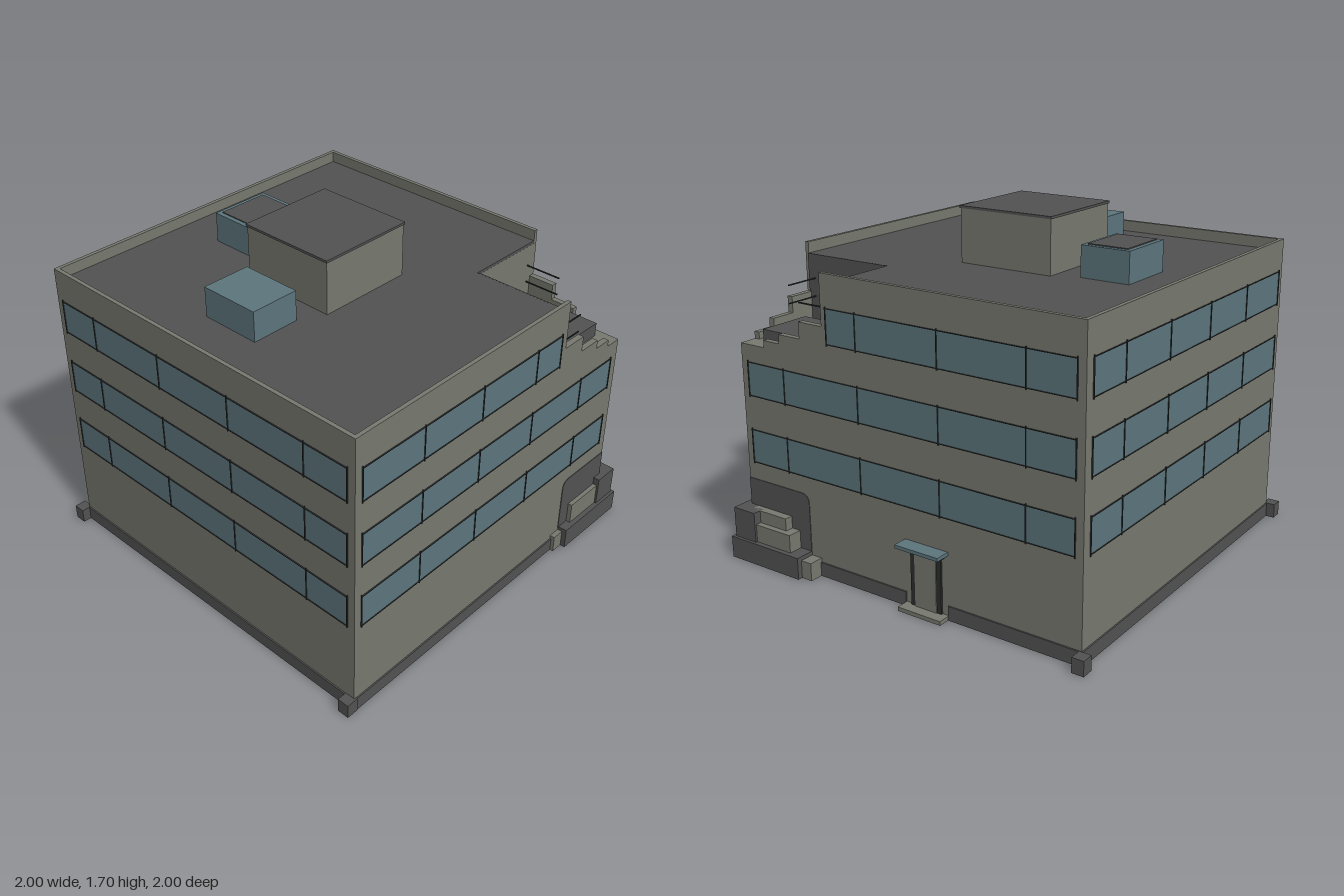
import * as THREE from 'three';

const mat = (name, color, side = THREE.FrontSide) => {
  const m = new THREE.MeshStandardMaterial({ color, side });
  m.name = name;
  return m;
};

export function createModel() {
  const wall = mat('concrete', 0x77786f);
  const dark = mat('darkGrey', 0x525252);
  const glass = mat('glass', 0x5c757d);
  const trim = mat('blackTrim', 0x2c2e2e);
  const model = new THREE.Group();
  model.name = 'damagedOfficeBlock';

  // Box given by its minimum and maximum corners
  const box = (name, m, x0, x1, y0, y1, z0, z1, parent = model) => {
    const mesh = new THREE.Mesh(new THREE.BoxGeometry(x1 - x0, y1 - y0, z1 - z0), m);
    mesh.position.set((x0 + x1) / 2, (y0 + y1) / 2, (z0 + z1) / 2);
    mesh.name = name;
    parent.add(mesh);
    return mesh;
  };
  // Plan outline (x, z) raised from y0 to y1
  const slab = (name, m, pts, y0, y1) => {
    const shape = new THREE.Shape(pts.map(([x, z]) => new THREE.Vector2(x, -z)));
    const geo = new THREE.ExtrudeGeometry(shape, { depth: y1 - y0, bevelEnabled: false });
    geo.rotateX(-Math.PI / 2).translate(0, y0, 0);
    const mesh = new THREE.Mesh(geo, m);
    mesh.name = name;
    model.add(mesh);
  };

  // Main body with the upper corner broken away
  const outline = [[-0.95, 0.95], [0.95, 0.95], [0.95, -0.44], [0.43, -0.44], [0.43, -0.9], [-0.95, -0.9]];
  box('lowerBody', wall, -0.95, 0.95, 0.003, 1.08, -0.9, 0.95);
  slab('upperBody', wall, outline, 1.08, 1.415);
  slab('roofDeck', dark, outline.map(([x, z]) => [x * 0.999, z * 0.999]), 1.415, 1.43);
  box('underside', dark, -0.95, 0.95, 0, 0.003, -0.9, 0.95);

  // Parapet
  box('parapetFront', wall, -0.95, 0.95, 1.415, 1.485, 0.93, 0.95);
  box('parapetLeft', wall, 0.93, 0.95, 1.415, 1.485, -0.44, 0.93);
  box('parapetRight', wall, -0.95, -0.93, 1.415, 1.485, -0.9, 0.93);
  box('parapetBack', wall, -0.93, 0.43, 1.415, 1.485, -0.9, -0.88);

  // Stepped broken walls, floor slab and bent bars in the notch
  box('notchInnerWall', dark, 0.44, 0.93, 1.08, 1.43, -0.446, -0.44);
  const steps = [[0, 0.14, 1.24], [0.14, 0.27, 1.16], [0.27, 0.37, 1.115]];
  for (const [a, b, y] of steps) {
    box('brokenSideWall', wall, 0.92, 0.95, 1.08, y, -0.44 - b, -0.44 - a);
    box('brokenBackWall', wall, 0.43 + a, 0.43 + b, 1.08, y, -0.9, -0.87);
  }
  box('brokenFloor', dark, 0.56, 0.85, 1.08, 1.15, -0.85, -0.57);
  for (const [y, len] of [[1.31, 0.19], [1.22, 0.19]]) {
    box('sideBar', trim, 0.887, 0.892, y - 0.003, y + 0.003, -0.44 - len, -0.44);
    box('backBar', trim, 0.43, 0.43 + len, y - 0.003, y + 0.003, -0.843, -0.838);
  }

  // Window bands: each side is [name, turn, depth, from, to, top from, top to, bay]
  const sides = [
    ['front', 0, 0.95, -0.91, 0.91, -0.91, 0.91, 0.45, -0.68],
    ['left', Math.PI / 2, 0.95, -0.91, 0.85, -0.91, 0.4, 0.38, -0.54],
    ['back', Math.PI, 0.9, -0.91, 0.91, -0.4, 0.91, 0.45, -0.68],
    ['right', -Math.PI / 2, 0.95, -0.85, 0.91, -0.85, 0.91, 0.38, -0.6],
  ];
  for (const [name, turn, d, a, b, topA, topB, bay, first] of sides) {
    const side = new THREE.Group();
    side.name = name + 'Windows';
    side.rotation.y = turn;
    [0.49, 0.828, 1.162].forEach((y, row) => {
      const u0 = row === 2 ? topA : a;
      const u1 = row === 2 ? topB : b;
      const y1 = y + 0.165;
      box('windowBand', glass, u0, u1, y, y1, d - 0.002, d + 0.002, side);
      for (const e of [y, y1]) box('windowSill', trim, u0, u1, e - 0.0015, e + 0.0015, d, d + 0.006, side);
      const posts = [u0, u1];
      for (let u = first; u < u1 - 0.03; u += bay) if (u > u0 + 0.03) posts.push(u);
      for (const u of posts) box('mullion', trim, u - 0.002, u + 0.002, y - 0.008, y1 + 0.008, d, d + 0.006, side);
    });
    model.add(side);
  }

  // Plinth and corner blocks
  box('plinthFront', dark, -0.955, 0.955, 0, 0.07, 0.945, 0.957);
  box('plinthLeft', dark, 0.945, 0.957, 0, 0.07, -0.57, 0.95);
  box('plinthRight', dark, -0.957, -0.945, 0, 0.07, -0.905, 0.95);
  box('plinthBack', dark, -0.955, -0.26, 0, 0.07, -0.907, -0.895);
  box('plinthBack', dark, -0.02, 0.57, 0, 0.07, -0.907, -0.895);
  for (const [x, z] of [[-0.97, 0.97], [0.93, 0.97], [-0.97, -0.935]]) {
    box('cornerBlock', dark, x - 0.03, x + 0.03, 0, 0.073, z - 0.03, z + 0.03);
  }

  // Rooftop house and skylights
  box('roofHouse', wall, -0.315, 0.185, 1.42, 1.69, -0.185, 0.315);
  box('roofHouseCap', dark, -0.32, 0.19, 1.69, 1.702, -0.19, 0.32);
  box('sideSkylight', glass, -0.69, -0.44, 1.42, 1.58, -0.13, 0.18);
  box('sideSkylightTop', dark, -0.667, -0.463, 1.58, 1.585, -0.107, 0.157);
  box('frontSkylight', glass, -0.19, 0.12, 1.42, 1.58, 0.44, 0.69);

  // Back door with canopy and step
  box('doorFrame', trim, -0.225, -0.055, 0.02, 0.3, -0.91, -0.9);
  box('door', wall, -0.2, -0.08, 0.02, 0.275, -0.914, -0.91);
  box('canopySupport', dark, -0.24, -0.04, 0.295, 0.315, -0.92, -0.9);
  box('canopy', glass, -0.26, -0.02, 0.313, 0.33, -0.975, -0.9);
  box('doorStep', wall, -0.26, -0.02, 0, 0.02, -0.965, -0.9);

  // Scorched patches with one rounded upper corner, on both walls of the broken corner
  const scorch = (width, mirrored) => {
    const s = new THREE.Shape();
    const k = mirrored ? -1 : 1;
    s.moveTo(0, 0.1);
    s.lineTo(k * width, 0.1);
    s.lineTo(k * width, 0.4);
    s.lineTo(k * 0.05, 0.4);
    s.quadraticCurveTo(0, 0.4, 0, 0.35);
    const mesh = new THREE.Mesh(
      new THREE.ExtrudeGeometry(s, { depth: 0.004, bevelEnabled: false }), dark);
    mesh.name = 'scorchPatch';
    model.add(mesh);
    return mesh;
  };
  const sideScorch = scorch(0.34, false);
  sideScorch.position.set(0.949, 0, -0.56);
  sideScorch.rotation.y = Math.PI / 2;
  const backScorch = scorch(0.39, true);
  backScorch.position.set(0.56, 0, -0.899);
  backScorch.rotation.y = Math.PI;

  // Rubble around the broken corner
  box('rubbleBase', dark, 0.56, 1, 0, 0.11, -1, -0.565);
  box('rubbleCorner', dark, 0.85, 0.985, 0.11, 0.262, -0.985, -0.85);
  box('rubbleSideBlock', wall, 0.94, 0.975, 0.11, 0.222, -0.85, -0.63);
  box('rubbleBackBlock', wall, 0.63, 0.87, 0.11, 0.2, -0.975, -0.89);
  box('rubbleBackUpper', wall, 0.68, 0.9, 0.2, 0.262, -0.945, -0.89);
  box('rubbleSmallSide', wall, 0.94, 0.975, 0, 0.09, -0.565, -0.5);
  box('rubbleSmallBack', wall, 0.5, 0.56, 0, 0.09, -0.975, -0.89);

  return model;
}
